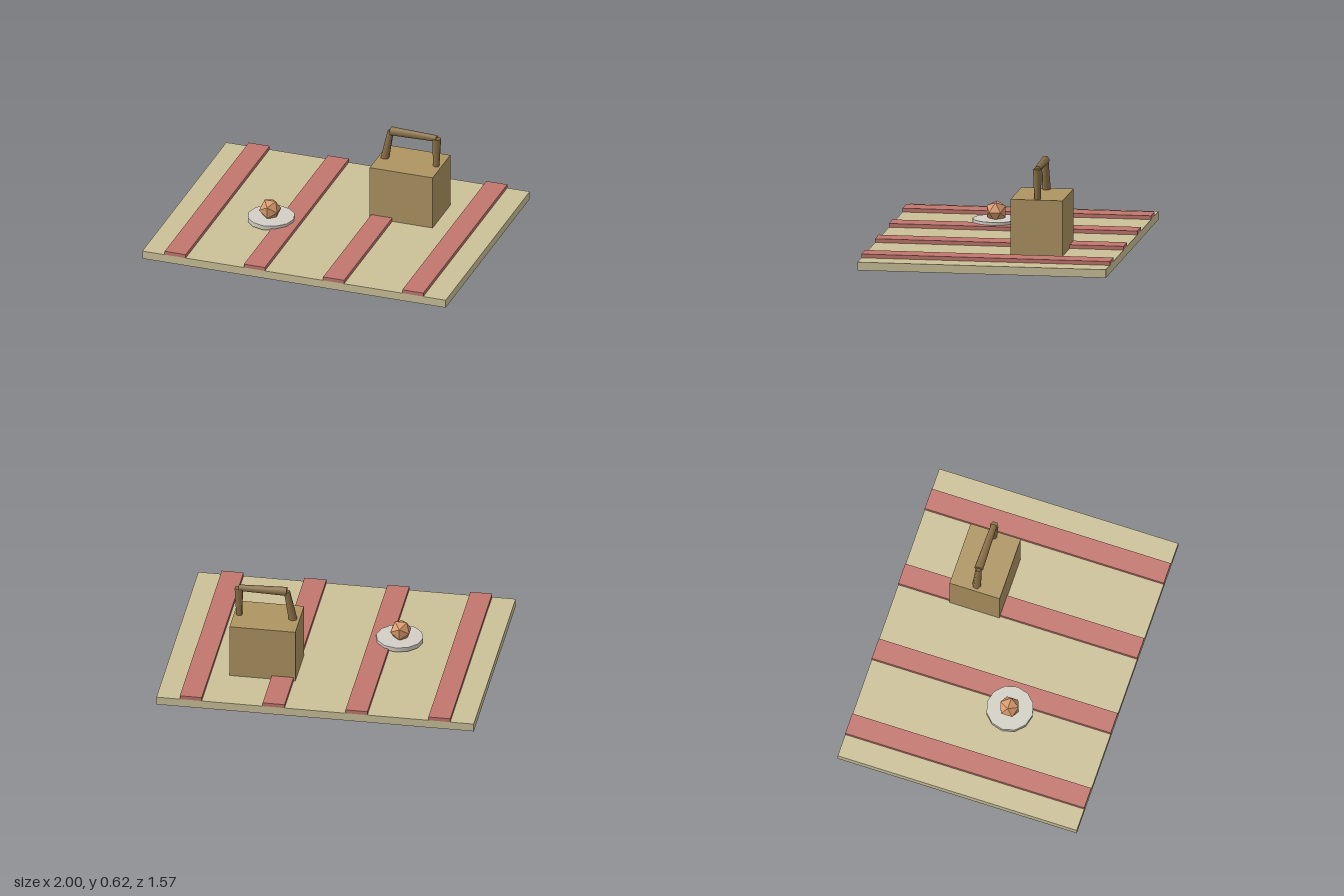
import * as THREE from 'three';

const mat = (color, flatShading = false) => new THREE.MeshStandardMaterial({ color, flatShading });

export function createModel() {
  const model = new THREE.Group();
  model.name = 'picnic';

  const add = (name, geometry, material, x, y, z, parent = model) => {
    const mesh = new THREE.Mesh(geometry, material);
    mesh.name = name;
    mesh.position.set(x, y, z);
    parent.add(mesh);
    return mesh;
  };

  // Blanket with four raised stripes
  add('blanket', new THREE.BoxGeometry(2, 0.052, 1.565), mat(0xcbc199), 0, 0.026, 0);
  const stripeMat = mat(0xc1766e);
  for (const x of [-0.783, -0.261, 0.261, 0.783]) {
    add('stripe', new THREE.BoxGeometry(0.138, 0.024, 1.565), stripeMat, x, 0.064, 0);
  }

  // Basket body
  const basketZ = -0.279;
  add('basket', new THREE.BoxGeometry(0.415, 0.35, 0.328), mat(0xae9462), 0.389, 0.227, basketZ);

  // Basket handle: three rods, each tapering along the path
  const handle = new THREE.Group();
  handle.name = 'basketHandle';
  model.add(handle);
  const rodMat = mat(0x8b7148);
  const path = [[0.222, 0.39], [0.262, 0.594], [0.565, 0.592], [0.562, 0.39]]
    .map(([x, y]) => new THREE.Vector3(x, y, basketZ));
  for (let i = 0; i < 3; i++) {
    const dir = path[i + 1].clone().sub(path[i]);
    const mid = path[i].clone().add(path[i + 1]).multiplyScalar(0.5);
    const rod = add('handleRod', new THREE.CylinderGeometry(0.02, 0.028, dir.length(), 6),
      rodMat, mid.x, mid.y, mid.z, handle);
    rod.quaternion.setFromUnitVectors(new THREE.Vector3(0, 1, 0), dir.normalize());
  }

  // Plate and fruit
  add('plate', new THREE.CylinderGeometry(0.148, 0.148, 0.029, 12), mat(0xd3cfc5), -0.378, 0.08, 0.138);
  add('fruit', new THREE.IcosahedronGeometry(0.07, 0), mat(0xd7986a, true), -0.385, 0.138, 0.138);

  return model;
}
